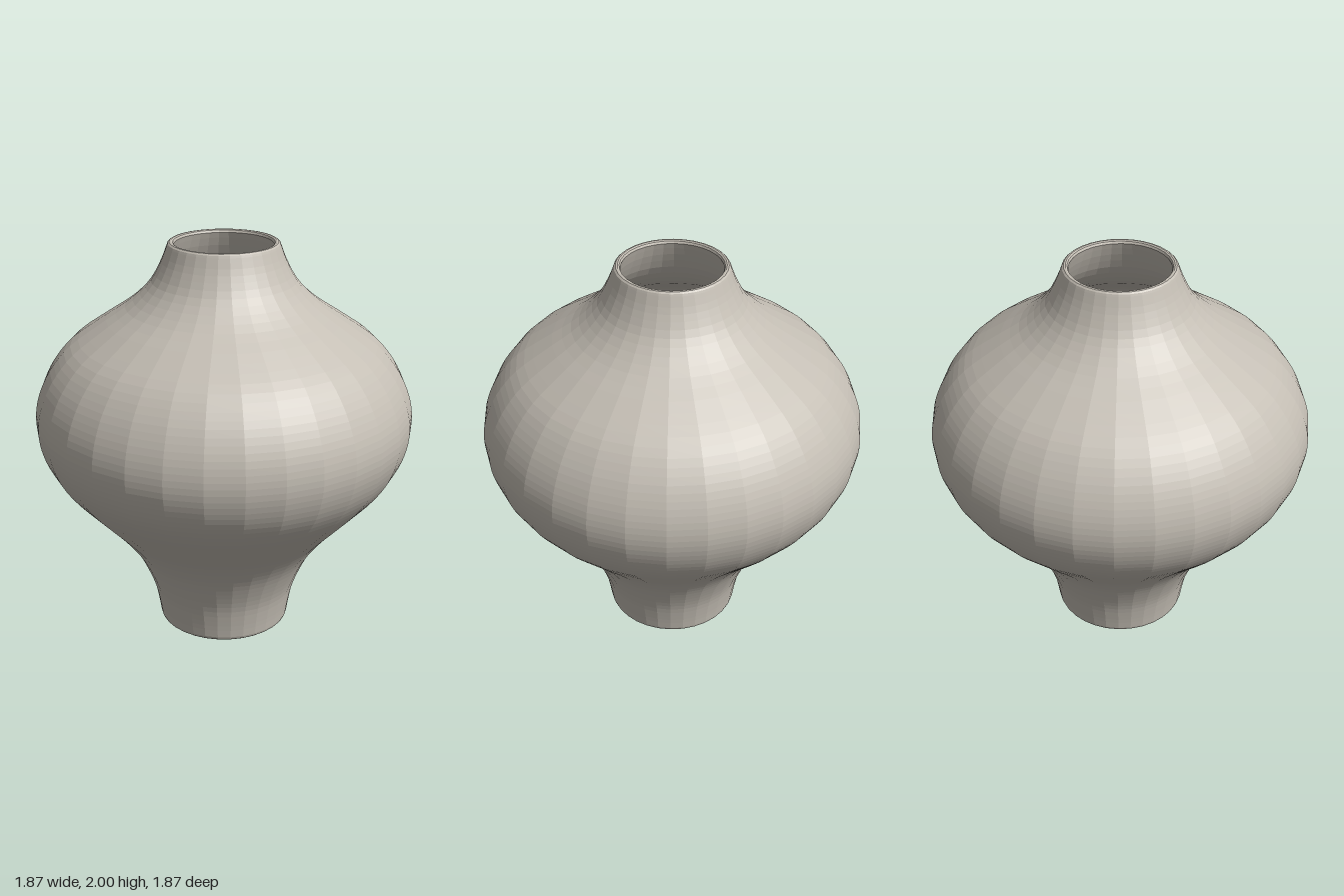
import * as THREE from 'three';

const SIDES = 32;
const toVectors = (list) => list.map(([r, y]) => new THREE.Vector2(r, y));
const smooth = (list, steps) => new THREE.SplineCurve(toVectors(list)).getPoints(steps);

export function createModel() {
  const model = new THREE.Group();
  model.name = 'vase';
  const clay = new THREE.MeshStandardMaterial({ color: 0xc4beb4, flatShading: true });
  clay.name = 'warm grey clay';

  const addLathe = (name, points) => {
    const mesh = new THREE.Mesh(new THREE.LatheGeometry(points, SIDES), clay);
    mesh.name = name;
    model.add(mesh);
  };

  // Outer silhouette, foot to neck
  const outer = [
    [0.333, 0.025], [0.345, 0.1], [0.367, 0.2], [0.405, 0.3], [0.455, 0.4],
    [0.525, 0.5], [0.615, 0.6], [0.71, 0.7], [0.8, 0.8], [0.87, 0.9], [0.913, 1.0],
    [0.932, 1.1], [0.925, 1.2], [0.893, 1.3], [0.837, 1.4], [0.75, 1.5],
    [0.61, 1.6], [0.463, 1.7], [0.362, 1.8], [0.305, 1.9], [0.273, 1.982],
  ];
  addLathe('outerBody', smooth(outer, 64));

  // Flat underside with a softened edge
  addLathe('base', toVectors([[0, 0], [0.3, 0], [0.318, 0.004], [0.328, 0.012], [0.333, 0.025]]));

  // Rounded lip
  addLathe('rim', toVectors([
    [0.273, 1.982], [0.269, 1.992], [0.261, 1.999], [0.252, 2], [0.244, 1.996], [0.239, 1.985],
  ]));

  // Hollow inside, following the outer wall down to the floor
  const inner = [
    [0.239, 1.985], [0.272, 1.9], [0.33, 1.79], [0.43, 1.68], [0.58, 1.575],
    [0.72, 1.48], [0.805, 1.39], [0.86, 1.29], [0.89, 1.2], [0.898, 1.1],
    [0.88, 1.0], [0.837, 0.9], [0.77, 0.81], [0.68, 0.715], [0.59, 0.62],
    [0.5, 0.52], [0.425, 0.41], [0.375, 0.31], [0.335, 0.2], [0.313, 0.1], [0.29, 0.055],
  ];
  addLathe('innerWall', smooth(inner, 48));
  addLathe('innerFloor', toVectors([[0.29, 0.055], [0.26, 0.042], [0.21, 0.035], [0, 0.035]]));

  return model;
}
